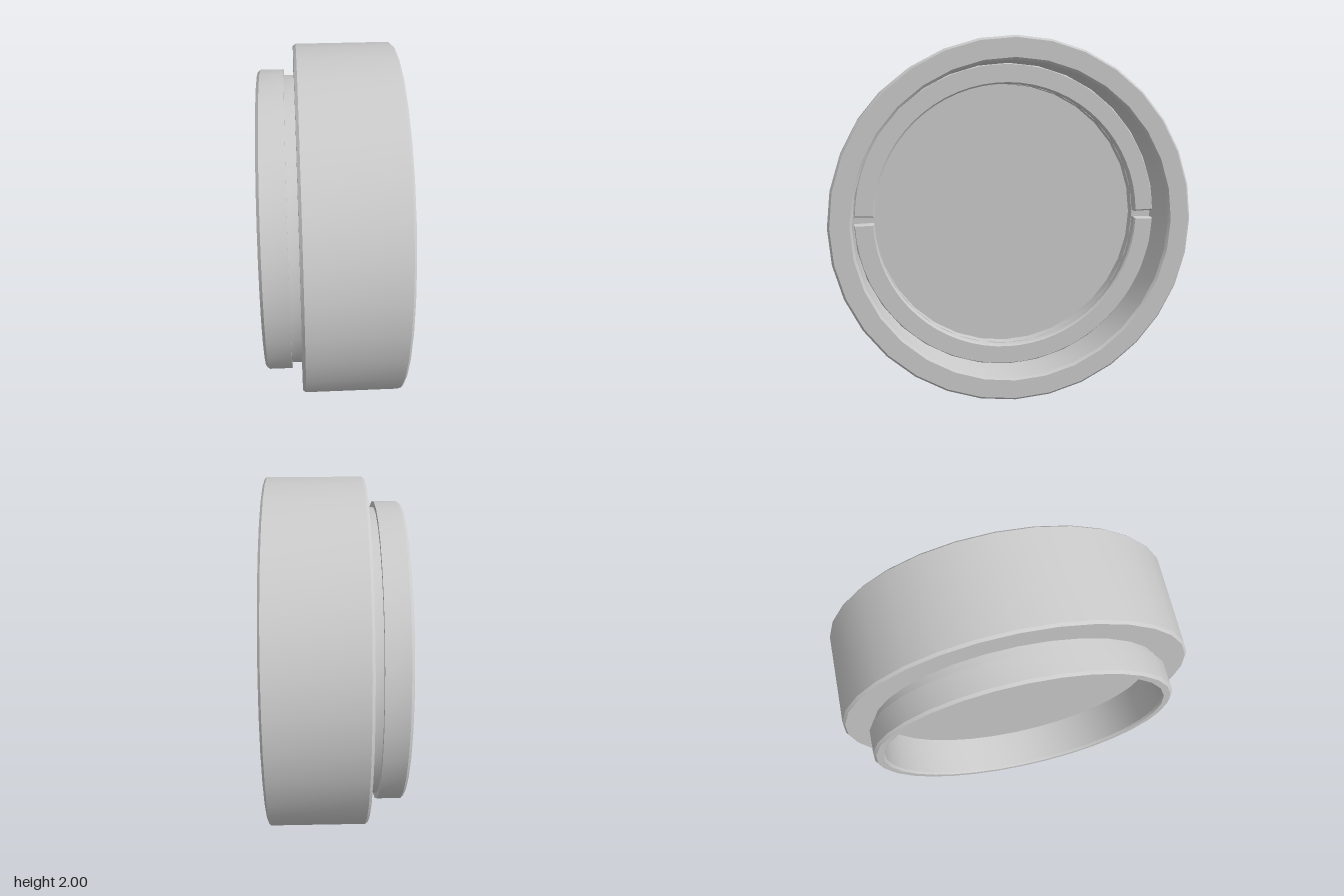
import * as THREE from 'three';
import { toCreasedNormals } from 'three/addons/utils/BufferGeometryUtils.js';

const SEGMENTS = 32;
const material = new THREE.MeshStandardMaterial({ color: 0xcccccc });

function part(name, geometry) {
  const mesh = new THREE.Mesh(toCreasedNormals(geometry, 0.6), material);
  mesh.name = name;
  return mesh;
}

// Revolve a profile of [radius, x] pairs around the x axis
function revolve(profile) {
  const points = profile.map(([r, x]) => new THREE.Vector2(r, x));
  return new THREE.LatheGeometry(points, SEGMENTS).rotateZ(-Math.PI / 2);
}

// Half an annulus, leaving a narrow gap at each end
function halfRing(inner, outer, x0, x1, start, gap) {
  const a = start + gap, b = start + Math.PI - gap, bevel = 0.008;
  const shape = new THREE.Shape();
  shape.absarc(0, 0, outer - bevel, a, b, false);
  shape.absarc(0, 0, inner + bevel, b, a, true);
  shape.closePath();
  const geometry = new THREE.ExtrudeGeometry(shape, {
    depth: x1 - x0 - bevel, curveSegments: SEGMENTS / 2,
    bevelEnabled: true, bevelSize: bevel, bevelThickness: bevel, bevelSegments: 1,
  });
  return geometry.translate(0, 0, x0).rotateY(Math.PI / 2);
}

export function createModel() {
  const group = new THREE.Group();

  // Housing: wide front barrel, groove and narrower rear mounting collar
  group.add(part('housing', revolve([
    [0.81, -0.375], [0.848, -0.375], [0.862, -0.36], [0.862, -0.23],
    [0.83, -0.23], [0.83, -0.175], [0.988, -0.175], [1, -0.16],
    [1, 0.358], [0.988, 0.37], [0.885, 0.37], [0.872, 0.358],
    [0.864, 0.03], [0.77, 0.03], [0.785, -0.15], [0.798, -0.363], [0.81, -0.375],
  ])));

  // Glass disc closing the bore
  const glass = new THREE.CylinderGeometry(0.795, 0.795, 0.18, SEGMENTS);
  group.add(part('glass', glass.rotateZ(-Math.PI / 2).translate(-0.06, 0, 0)));

  // Retaining ring: solid base, with two raised halves that leave spanner slots
  group.add(part('retainingRingBase', revolve([
    [0.753, 0.02], [0.868, 0.02], [0.868, 0.09], [0.753, 0.09], [0.753, 0.02],
  ])));
  for (const [name, start] of [['retainingRingUpper', 0], ['retainingRingLower', Math.PI]]) {
    group.add(part(name, halfRing(0.753, 0.868, 0.085, 0.14, start, 0.034)));
  }

  for (const mesh of group.children) mesh.position.y = 1;
  return group;
}
